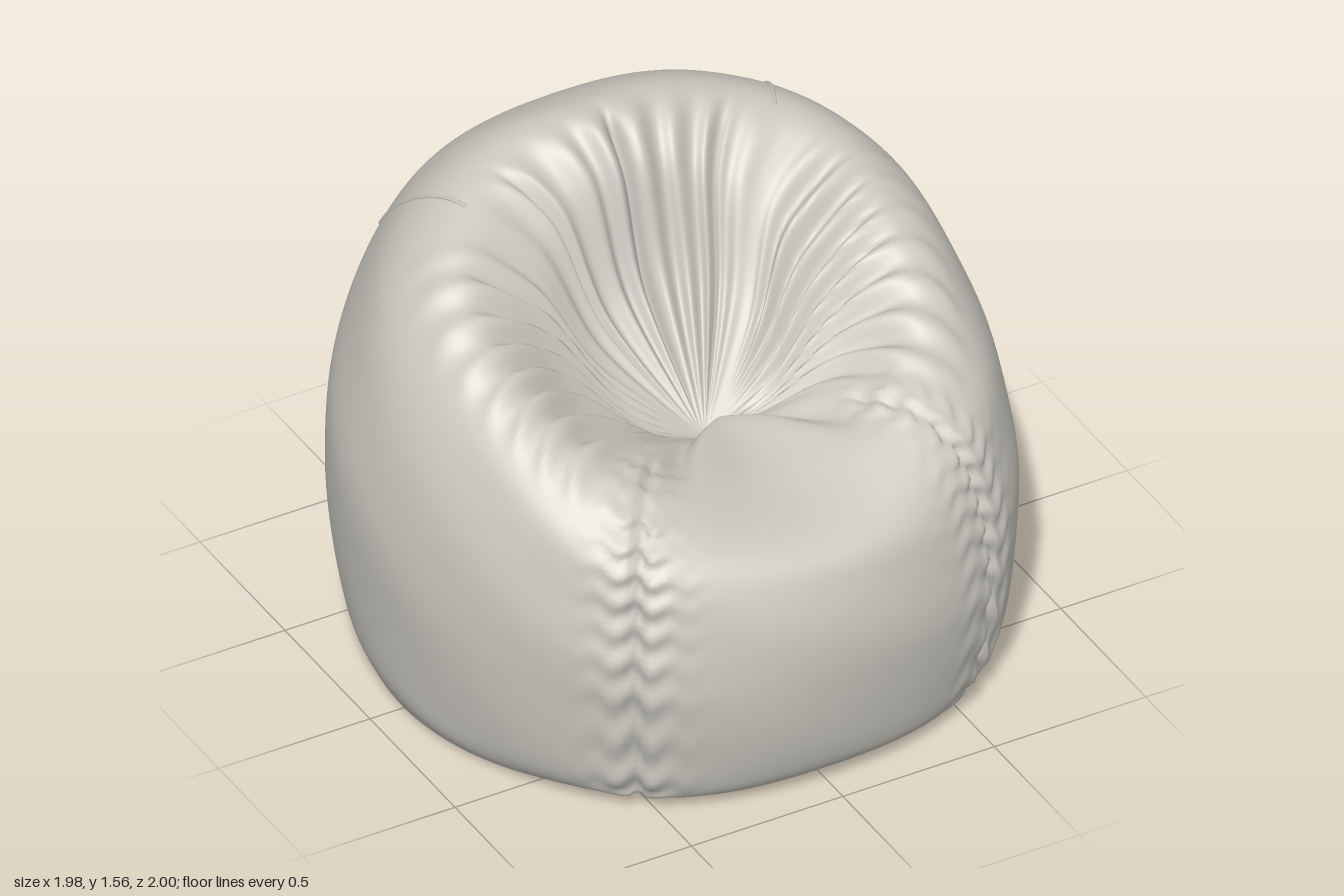
import * as THREE from 'three';

// Half of the cushion: one row per 36 degrees from front to back.
// Each row is [radius, height] from the base edge, over the ridge, into the seat hollow.
const ROWS = [
  [[.82, 0], [.94, .09], [1, .42], [.965, .68], [.86, .82], [.6, .88], [.3, .9], [.16, .87], [0, .76]],
  [[.85, 0], [.965, .09], [1.02, .45], [.99, .7], [.92, .88], [.74, .99], [.48, .96], [.24, .87], [0, .76]],
  [[.88, 0], [.945, .13], [.985, .53], [.95, .83], [.84, 1.08], [.67, 1.19], [.44, 1.06], [.25, .88], [0, .76]],
  [[.89, 0], [.95, .15], [1, .58], [.97, .92], [.84, 1.26], [.64, 1.4], [.42, 1.27], [.26, .99], [0, .76]],
  [[.88, 0], [.94, .15], [1, .6], [.965, .98], [.81, 1.34], [.56, 1.515], [.35, 1.42], [.24, 1.07], [0, .76]],
  [[.87, 0], [.93, .15], [1, .6], [.95, 1], [.77, 1.36], [.47, 1.555], [.29, 1.46], [.23, 1.1], [0, .76]],
];
const CENTRE_Z = [0, 0, 0, 0, 0, 0, .02, .1, .19]; // the hollow sits forward of the middle
const LAST = CENTRE_Z.length - 1;

const cubic = (a, b, c, d, t) =>
  b + .5 * t * (c - a + t * (2 * a - 5 * b + 4 * c - d + t * (3 * (b - c) + d - a)));
const clampJ = j => Math.min(LAST, Math.max(0, j));
const rowAt = k => { const m = ((k % 10) + 10) % 10; return ROWS[m > 5 ? 10 - m : m]; };
const bump = (x, centre, width) => Math.exp(-(((x - centre) / width) ** 2));
const smooth = THREE.MathUtils.smoothstep;

// Interpolate a value given on whole profile steps
function along(f, v) {
  const j = Math.min(LAST - 1, Math.floor(v));
  return cubic(f(clampJ(j - 1)), f(j), f(j + 1), f(clampJ(j + 2)), v - j);
}

// Depth of seams, pleats and puckers; deg runs -180..180 from the front
function foldDepth(deg, v) {
  const a = Math.abs(deg);
  const outer = smooth(v, .1, .6) * (1 - smooth(v, 5.2, 6));
  const inner = smooth(v, 5, 5.8) * (1 - smooth(v, 7, 7.9));
  let d = 0;
  // front panel seams, with gathered cloth beside them
  d += outer * (.03 * bump(a, 35.5, .9) + .009 * bump(a, 35.5, 7) * Math.sin(v * 15 + Math.sin(a)));
  // backrest seams and centre pleat
  d += inner * (.03 * bump(a, 134, 2) + .035 * bump(a, 180, 2.5));
  // fan of soft pleats down the backrest
  d += inner * .012 * smooth(a, 110, 130) * Math.sin(a * .36 + .7 * Math.sin(deg * .09));
  // folds across the arms
  const arms = smooth(a, 38, 50) * (1 - smooth(a, 95, 115));
  const armZone = smooth(v, 4.1, 4.9) * (1 - smooth(v, 6.6, 7.6));
  d += arms * armZone * .018 * Math.sin(a * .75 + Math.sin(v * 2 + deg * .1) * 1.3);
  // dents at the seat corners
  d += .035 * bump(a, 28, 6) * bump(v, 6, .8);
  // slight lumps in the filling
  d += .004 * outer * Math.sin(deg * Math.PI / 180 * 7 + v * 2) * Math.sin(v * 3);
  return d;
}

function surface(deg, v, lift = 0) {
  const u = deg / 36, k = Math.floor(u), t = u - k;
  const sample = c => along(
    j => cubic(rowAt(k - 1)[j][c], rowAt(k)[j][c], rowAt(k + 1)[j][c], rowAt(k + 2)[j][c], t), v);
  const d = foldDepth(deg, v) - lift;
  const inside = smooth(v, 4.4, 5.6);
  const r = Math.max(0, sample(0) + d * (inside > .5 ? (inside - .5) * 1.2 : (inside - .5) * 2));
  const y = Math.max(0, sample(1) - d * inside);
  const a = deg * Math.PI / 180;
  return new THREE.Vector3(r * Math.sin(a), y, along(j => CENTRE_Z[j], v) + r * Math.cos(a));
}

function coverGeometry(nu, nv) {
  const pos = [], index = [];
  for (let j = 0; j <= nv; j++) {
    for (let i = 0; i < nu; i++) pos.push(...surface(-180 + i * 360 / nu, j / nv * LAST).toArray());
  }
  for (let j = 0; j < nv; j++) {
    for (let i = 0; i < nu; i++) {
      const n = (i + 1) % nu, a = j * nu + i, b = j * nu + n;
      index.push(a, b, b + nu);
      if (j < nv - 1) index.push(a, b + nu, a + nu);
    }
  }
  const g = new THREE.BufferGeometry();
  g.setAttribute('position', new THREE.Float32BufferAttribute(pos, 3));
  g.setIndex(index);
  g.computeVertexNormals();
  return g;
}

export function createModel() {
  const group = new THREE.Group();
  group.name = 'beanbagChair';
  const fabric = new THREE.MeshStandardMaterial({ color: 0xc8c6bd });
  fabric.name = 'warm grey fabric';
  const add = (name, geometry) => {
    const mesh = new THREE.Mesh(geometry, fabric);
    mesh.name = name;
    group.add(mesh);
  };

  // Stuffed cover: sides, ridge, backrest and seat hollow
  add('cushionCover', coverGeometry(360, 112));

  // Flat underside, following the base edge
  const outline = [];
  for (let i = 0; i < 120; i++) {
    const p = surface(i * 3, 0);
    outline.push(new THREE.Vector2(p.x, p.z));
  }
  const base = new THREE.ShapeGeometry(new THREE.Shape(outline));
  base.rotateX(Math.PI / 2);
  add('base', base);

  // Raised seams where the arm panels meet the back
  for (const side of [1, -1]) {
    const path = [];
    for (let i = 0; i <= 8; i++) {
      const s = i / 8;
      path.push(surface(side * (121 + 17 * s), 5.1 - 1.5 * s, -.001));
    }
    add(side > 0 ? 'leftBackSeam' : 'rightBackSeam',
      new THREE.TubeGeometry(new THREE.CatmullRomCurve3(path), 32, .007, 6));
  }
  return group;
}
